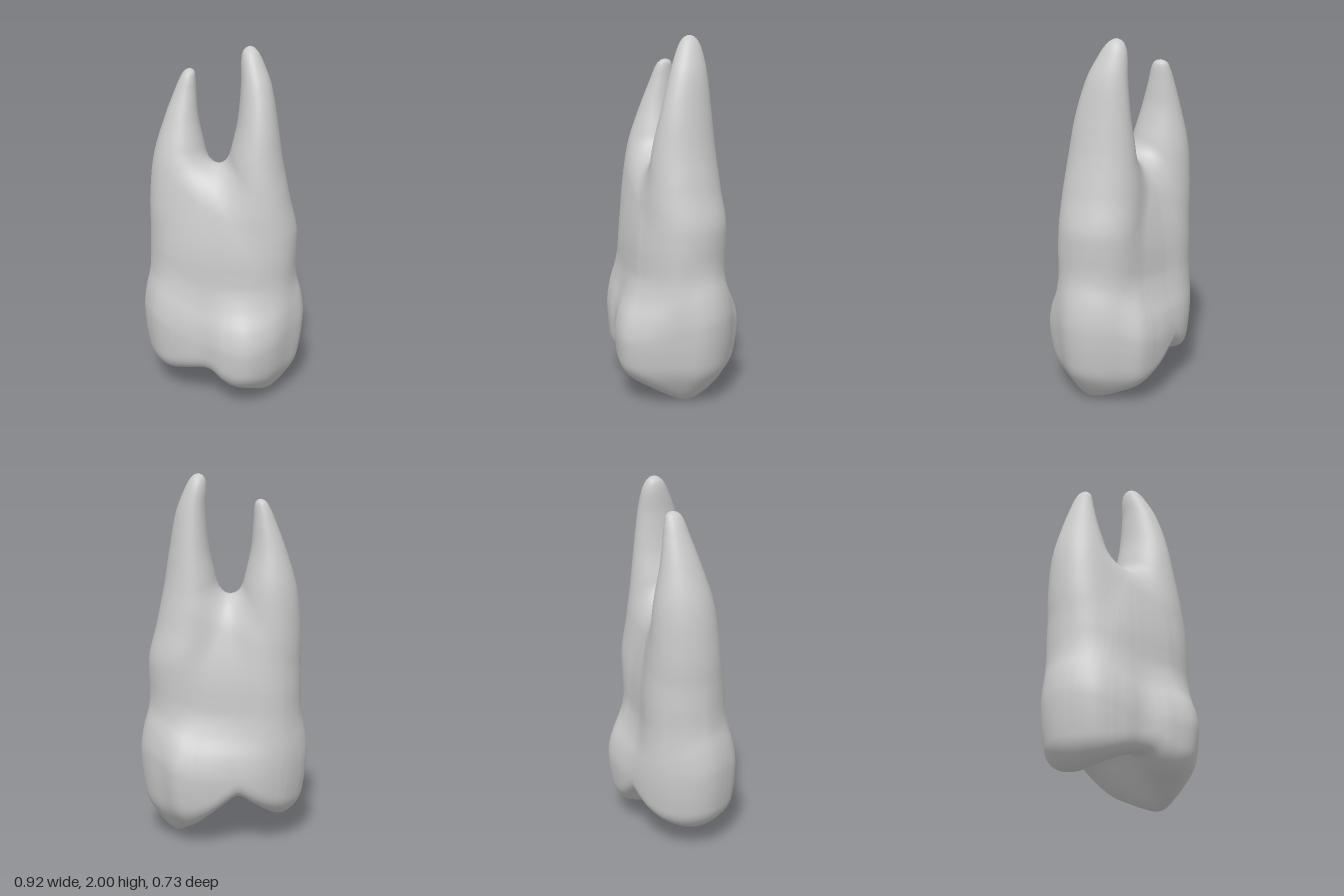
import * as THREE from 'three';

// Cubic interpolation through rows [y, a, b, ...]
function sample(rows, y) {
  const n = rows.length - 1;
  if (y <= rows[0][0]) return rows[0].slice(1);
  if (y >= rows[n][0]) return rows[n].slice(1);
  let i = 0;
  while (y > rows[i + 1][0]) i++;
  const p = rows[i], q = rows[i + 1], o = rows[Math.max(i - 1, 0)], r = rows[Math.min(i + 2, n)];
  const w = q[0] - p[0], t = (y - p[0]) / w, t2 = t * t, t3 = t2 * t;
  return p.slice(1).map((v, k) => {
    const j = k + 1;
    const m0 = (q[j] - o[j]) / (q[0] - o[0]) * w, m1 = (r[j] - p[j]) / (r[0] - p[0]) * w;
    return (2 * t3 - 3 * t2 + 1) * v + (t3 - 2 * t2 + t) * m0 + (3 * t2 - 2 * t3) * q[j] + (t3 - t2) * m1;
  });
}

const smin = (a, b, k) => { const h = Math.max(k - Math.abs(a - b), 0) / k; return Math.min(a, b) - h * h * k / 4; };
const smax = (a, b, k) => -smin(-a, -b, k);

// Outline points (x, z) turned into a table of radius by angle
const CZ = -0.03, STEPS = 180;
function outline(points) {
  const curve = new THREE.CatmullRomCurve3(points.map(([x, z]) => new THREE.Vector3(x, 0, z - CZ)), true);
  const polar = curve.getPoints(600).map(p => [Math.atan2(p.z, p.x), Math.hypot(p.x, p.z)]).sort((a, b) => a[0] - b[0]);
  const table = [];
  for (let i = 0, j = 0; i <= STEPS; i++) {
    const a = -Math.PI + i / STEPS * 2 * Math.PI;
    while (j < polar.length - 1 && polar[j][0] < a) j++;
    table.push(polar[j][1]);
  }
  return angle => {
    const u = (angle + Math.PI) / (2 * Math.PI) * STEPS, i = Math.min(Math.floor(u), STEPS - 1);
    return table[i] + (table[i + 1] - table[i]) * (u - i);
  };
}

const crownOutline = outline([[-0.458, -0.12], [-0.425, -0.22], [-0.31, -0.325], [-0.17, -0.37], [0, -0.364], [0.15, -0.35],
  [0.3, -0.305], [0.37, -0.2], [0.43, -0.1], [0.453, 0], [0.435, 0.09], [0.36, 0.185], [0.24, 0.31], [0.1, 0.37],
  [-0.03, 0.325], [-0.15, 0.23], [-0.25, 0.19], [-0.38, 0.1], [-0.435, 0]]);
const trunkOutline = outline([[-0.412, -0.13], [-0.38, -0.24], [-0.28, -0.325], [-0.17, -0.34], [0, -0.285], [0.2, -0.22],
  [0.33, -0.15], [0.39, -0.03], [0.385, 0.08], [0.34, 0.17], [0.25, 0.225], [0.1, 0.243], [-0.1, 0.19], [-0.25, 0.12],
  [-0.35, 0.03], [-0.4, -0.07]]);

// Height -> blend from trunk to crown outline, and overall section scale
const crownBlend = [[0.3, 1], [0.4, 0.95], [0.5, 0.71], [0.6, 0.3], [0.7, 0.05], [0.8, 0]];
const sectionScale = [[0, 0.66], [0.1, 0.8], [0.2, 0.92], [0.3, 0.97], [0.42, 1], [0.52, 1.01], [0.7, 1], [0.9, 0.98], [1.1, 0.86], [1.35, 0.62]];

// Root sections: y, centre x, centre z, radius x, radius z
const tallRoot = [[0.6, 0.18, 0, 0.17, 0.2], [0.97, 0.21, 0, 0.198, 0.222], [1.2, 0.186, 0.002, 0.173, 0.21],
  [1.4, 0.173, -0.003, 0.147, 0.188], [1.6, 0.18, -0.012, 0.11, 0.156], [1.8, 0.173, -0.034, 0.083, 0.114],
  [1.92, 0.152, -0.058, 0.061, 0.078], [1.975, 0.142, -0.067, 0.042, 0.05], [1.997, 0.14, -0.07, 0.022, 0.025], [2.005, 0.14, -0.07, 0.004, 0.004]];
const shortRoot = [[0.6, -0.2, -0.12, 0.18, 0.18], [1, -0.22, -0.13, 0.193, 0.2], [1.2, -0.235, -0.14, 0.175, 0.187],
  [1.4, -0.238, -0.15, 0.147, 0.163], [1.6, -0.228, -0.162, 0.095, 0.112], [1.75, -0.204, -0.171, 0.06, 0.073],
  [1.82, -0.19, -0.173, 0.043, 0.055], [1.857, -0.181, -0.175, 0.026, 0.036], [1.87, -0.178, -0.175, 0.004, 0.004]];

function rootField(rows, x, y, z) {
  const tip = rows[rows.length - 1][0];
  const [cx, cz, rx, rz] = sample(rows, y);
  const side = (Math.hypot((x - cx) / rx, (z - cz) / rz) - 1) * Math.min(rx, rz);
  if (y > tip) return Math.hypot(x - cx, y - tip, z - cz);
  return Math.max(side, 0.62 - y);
}

// Chewing surface: two cusps parted by a groove that deepens towards the back
function cusp(x, z, cx, cz, base, inner, outer, front, back) {
  const dx = x - cx, dz = z - cz;
  const a = dx * cx < 0 ? inner : outer, b = dz > 0 ? front : back;
  return base + Math.hypot(a * dx, b * dz, 0.03) - 0.03;
}
function chewingHeight(x, z) {
  const big = cusp(x, z, 0.25, 0.05, 0, 0.85, 0.9, 0.6, 0.42);
  const small = cusp(x, z, -0.3, -0.1, 0.12, 0.56, 0.6, 0.4, 0.35);
  const across = Math.exp(-((x + 0.02) ** 2) / 0.02);
  const pit = 0.15 * Math.exp(-((z + 0.07) ** 2) / 0.03);
  const margin = THREE.MathUtils.lerp(0.01, -0.07, THREE.MathUtils.smoothstep(z, -0.3, 0.1));
  return smin(big, small, 0.03) + across * (pit + margin);
}

// Negative inside the tooth
function field(x, y, z) {
  const dz = z - CZ, angle = Math.atan2(dz, x);
  const lift = 0.12 * Math.cos(angle) ** 4;
  const blend = sample(crownBlend, y - lift)[0];
  const t = trunkOutline(angle), c = crownOutline(angle);
  let d = Math.hypot(x, dz) - (t + (c - t) * blend) * sample(sectionScale, y)[0];
  // Rounded saddle between the roots, falling away to front and back
  d = smax(d, y - 1.35 + 2.5 * (z + 0.05) ** 2, 0.1);
  if (y > 0.55) {
    const k = 0.04 + 0.06 * THREE.MathUtils.smoothstep(y, 1, 1.35);
    d = smin(d, smin(rootField(tallRoot, x, y, z), rootField(shortRoot, x, y, z), 0.05), k);
  }
  return y < 0.8 ? smax(d, (chewingHeight(x, z) - y) * 0.8, 0.07) : d;
}

// One smooth skin wrapped around the field on a regular grid
function skin(f, min, max, h) {
  const n = [0, 1, 2].map(i => Math.ceil((max[i] - min[i]) / h) + 1);
  const stride = [1, n[0], n[0] * n[1]];
  const values = new Float32Array(n[0] * n[1] * n[2]);
  const eachCell = visit => {
    for (let k = 0; k < n[2]; k++) for (let j = 0; j < n[1]; j++) for (let i = 0; i < n[0]; i++)
      visit([i, j, k], i + j * stride[1] + k * stride[2]);
  };
  eachCell((p, id) => { values[id] = f(...p.map((v, a) => min[a] + v * h)); });
  const gradient = (x, y, z, e) => new THREE.Vector3(
    f(x + e, y, z) - f(x - e, y, z), f(x, y + e, z) - f(x, y - e, z), f(x, y, z + e) - f(x, y, z - e)).divideScalar(2 * e);

  // A vertex at the mean edge crossing of each cell the surface passes through
  const vertexOf = new Int32Array(values.length).fill(-1);
  const positions = [], normals = [], index = [];
  eachCell((p, id) => {
    if (p.some((v, a) => v >= n[a] - 1)) return;
    const sum = [0, 0, 0];
    let count = 0;
    for (let a = 0; a < 3; a++) for (let q = 0; q < 4; q++) {
      const o = [0, 0, 0];
      o[(a + 1) % 3] = q & 1;
      o[(a + 2) % 3] = q >> 1;
      const s = id + o[0] + o[1] * stride[1] + o[2] * stride[2];
      const v0 = values[s], v1 = values[s + stride[a]];
      if ((v0 < 0) === (v1 < 0)) continue;
      o[a] = v0 / (v0 - v1);
      o.forEach((v, i) => { sum[i] += v; });
      count++;
    }
    if (!count) return;
    vertexOf[id] = positions.length / 3;
    const v = sum.map((s, a) => min[a] + (p[a] + s / count) * h);
    const g = gradient(...v, 0.015).normalize();
    positions.push(...v);
    normals.push(g.x, g.y, g.z);
  });

  // A quad across each grid edge that crosses the surface
  eachCell((p, id) => {
    for (let a = 0; a < 3; a++) {
      const b = (a + 1) % 3, c = (a + 2) % 3;
      if (p[a] >= n[a] - 1 || p[b] < 1 || p[c] < 1) continue;
      const inside = values[id] < 0;
      if (inside === values[id + stride[a]] < 0) continue;
      const q = [id - stride[b] - stride[c], id - stride[c], id, id - stride[b]].map(i => vertexOf[i]);
      if (q.includes(-1)) continue;
      if (!inside) q.reverse();
      index.push(q[0], q[1], q[2], q[0], q[2], q[3]);
    }
  });
  const geometry = new THREE.BufferGeometry();
  geometry.setAttribute('position', new THREE.Float32BufferAttribute(positions, 3));
  geometry.setAttribute('normal', new THREE.Float32BufferAttribute(normals, 3));
  geometry.setIndex(index);
  return geometry;
}

export function createModel() {
  const group = new THREE.Group();
  group.name = 'tooth';
  const geometry = skin(field, [-0.53, -0.06, -0.44], [0.53, 2.06, 0.44], 0.015);
  // Stand on the ground, centred
  geometry.computeBoundingBox();
  const { min, max } = geometry.boundingBox;
  geometry.translate(-(min.x + max.x) / 2, -min.y, -(min.z + max.z) / 2);
  const tooth = new THREE.Mesh(geometry, new THREE.MeshStandardMaterial({ color: 0xcccccc }));
  tooth.name = 'crownAndRoots';
  group.add(tooth);
  return group;
}
